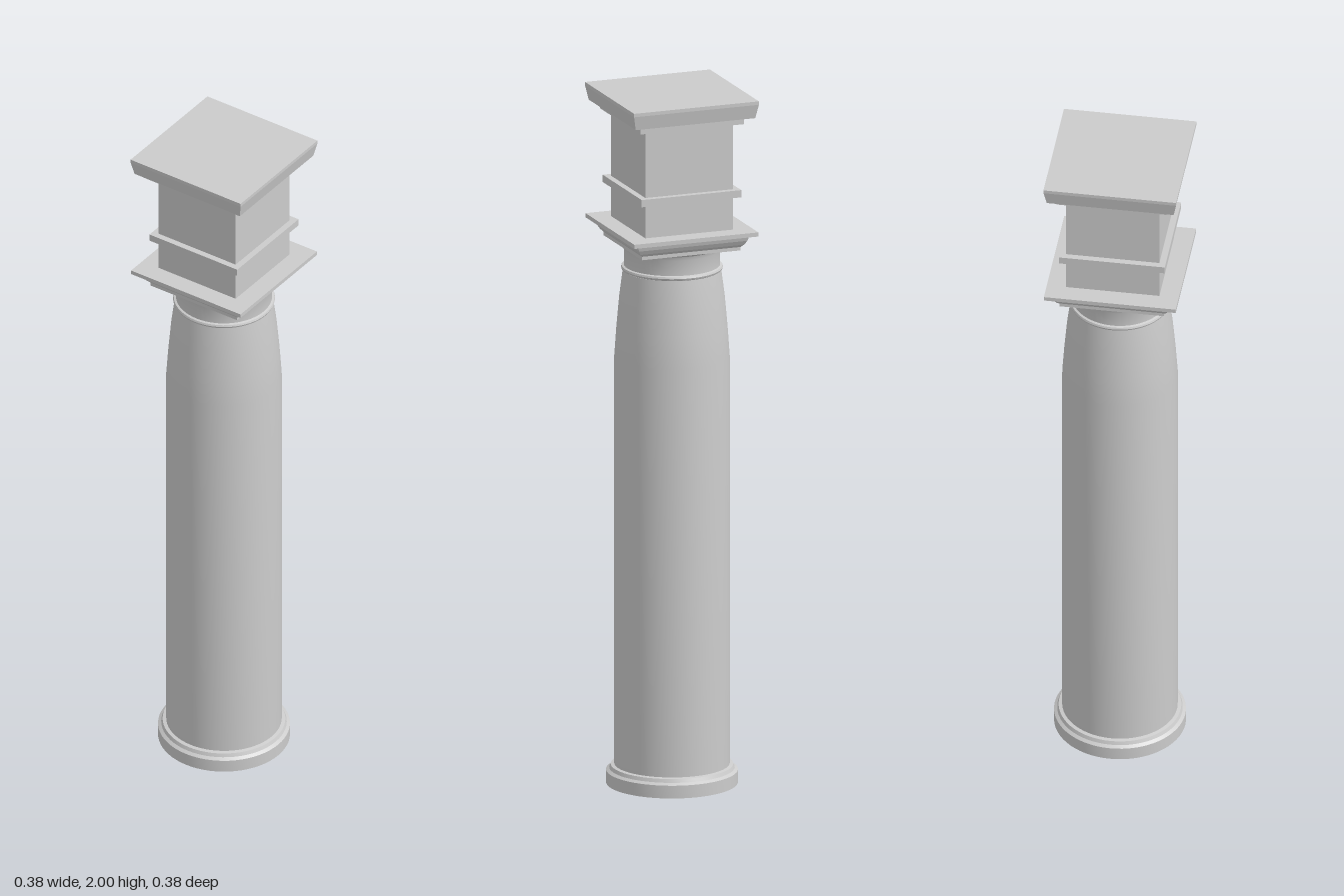
import * as THREE from 'three';
import { toCreasedNormals } from 'three/addons/utils/BufferGeometryUtils.js';

const material = new THREE.MeshStandardMaterial({ color: 0xcccccc, side: THREE.DoubleSide });

const toPoints = (profile, scale = 1) => profile.map(([r, y]) => new THREE.Vector2(r * scale, y));

// Round moulding: profile of [radius, height] from bottom to top
function roundPart(name, profile) {
  const geometry = toCreasedNormals(new THREE.LatheGeometry(toPoints(profile), 64), 0.45);
  const mesh = new THREE.Mesh(geometry, material);
  mesh.name = name;
  return mesh;
}

// Square moulding: profile of [half width, height] swept round four mitred sides
function squarePart(name, profile) {
  const lathe = new THREE.LatheGeometry(toPoints(profile, Math.SQRT2), 4, Math.PI / 4);
  const mesh = new THREE.Mesh(toCreasedNormals(lathe, 0.1), material);
  mesh.name = name;
  return mesh;
}

export function createModel() {
  const model = new THREE.Group();
  model.name = 'column';

  model.add(
    // Open-bottomed plinth ring with a sloped shoulder
    roundPart('base', [
      [0.185, 0], [0.185, 0.037], [0.176, 0.043], [0.172, 0.053], [0.162, 0.055],
    ]),
    // Straight lower shaft, gently tapering towards the neck
    roundPart('shaft', [
      [0.162, 0.055], [0.162, 1.235], [0.156, 1.32], [0.148, 1.41], [0.138, 1.487],
    ]),
    roundPart('neckRing', [
      [0.136, 1.487], [0.141, 1.489], [0.143, 1.494], [0.141, 1.499], [0.135, 1.501],
    ]),
    roundPart('neck', [
      [0.135, 1.5], [0.135, 1.545], [0.139, 1.556], [0.147, 1.562],
    ]),
    // Flared square capital with a thin projecting slab
    squarePart('capital', [
      [0, 1.562], [0.148, 1.562], [0.148, 1.572], [0.156, 1.58], [0.163, 1.592],
      [0.167, 1.605], [0.187, 1.608], [0.187, 1.62], [0, 1.62],
    ]),
    // Square block standing on the capital
    squarePart('block', [[0.132, 1.62], [0.132, 1.935]]),
    squarePart('blockBand', [
      [0.13, 1.716], [0.15, 1.716], [0.15, 1.737], [0.13, 1.737],
    ]),
    // Crowning cornice: small fillet below an outward sloping slab
    squarePart('cornice', [
      [0.13, 1.929], [0.156, 1.929], [0.156, 1.95], [0.18, 1.95],
      [0.188, 1.99], [0.188, 2], [0, 2],
    ]),
  );
  return model;
}
